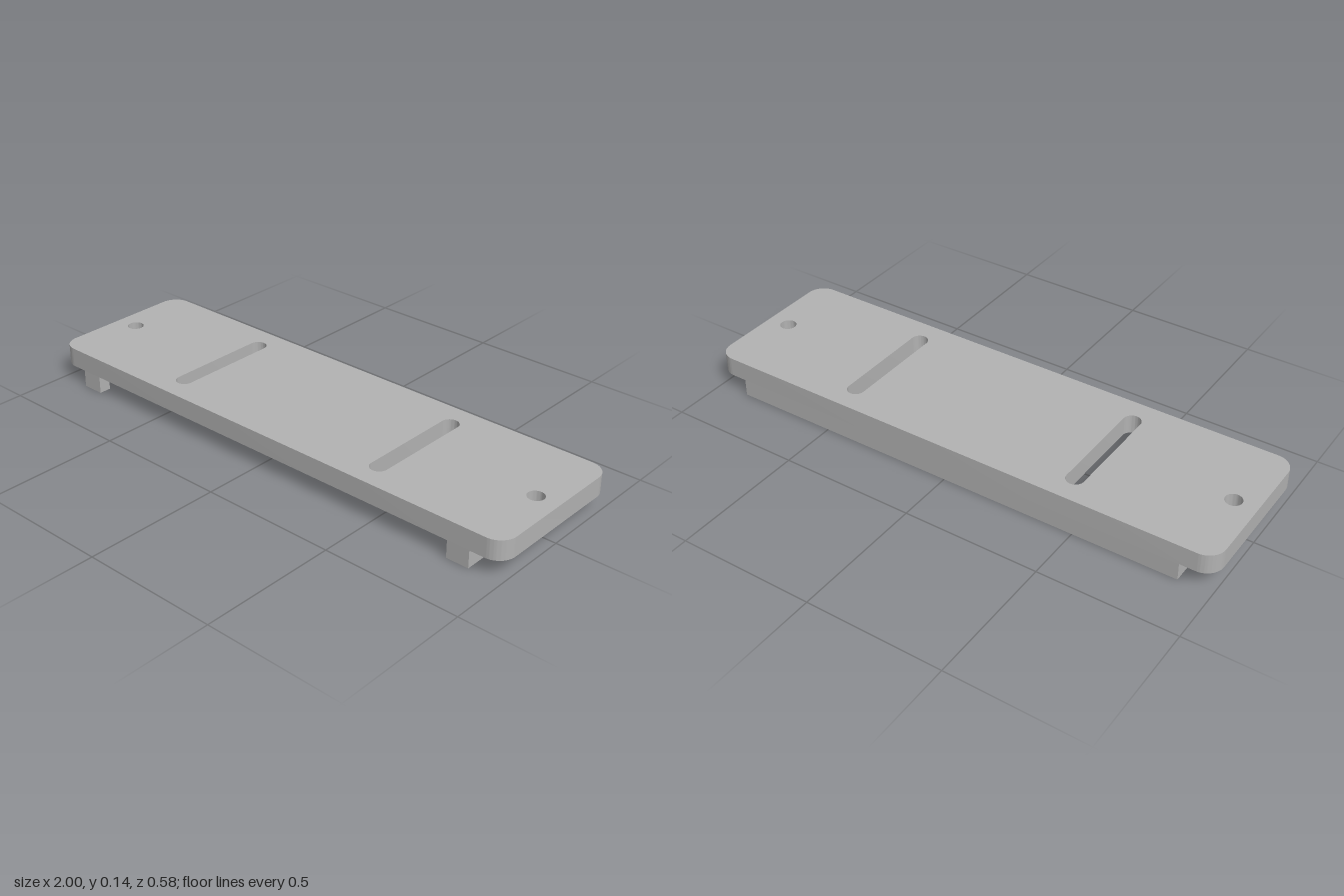
import * as THREE from 'three';
import { toCreasedNormals } from 'three/addons/utils/BufferGeometryUtils.js';

const HALF_X = 1, HALF_Z = 0.288, SKIRT_H = 0.064, TOP = 0.136;

// Extrudes a plan outline (shape y = -z) upward from y0 to y1
function slab(shape, y0, y1) {
  const geo = new THREE.ExtrudeGeometry(shape, { depth: y1 - y0, bevelEnabled: false, curveSegments: 16 });
  geo.rotateX(-Math.PI / 2).translate(0, y0, 0);
  return toCreasedNormals(geo, Math.PI / 6);
}

// Rounded rectangle in plan, traced counter-clockwise
function roundedRect(path, hx, hy, r) {
  path.moveTo(hx, -hy + r);
  path.lineTo(hx, hy - r);
  path.absarc(hx - r, hy - r, r, 0, Math.PI / 2);
  path.lineTo(-hx + r, hy);
  path.absarc(-hx + r, hy - r, r, Math.PI / 2, Math.PI);
  path.lineTo(-hx, -hy + r);
  path.absarc(-hx + r, -hy + r, r, Math.PI, Math.PI * 1.5);
  path.lineTo(hx - r, -hy);
  path.absarc(hx - r, -hy + r, r, Math.PI * 1.5, Math.PI * 2);
  return path;
}

// Long slot with round ends
function slotHole(x, r, halfLength) {
  const path = new THREE.Path();
  path.moveTo(x + r, -halfLength + r);
  path.lineTo(x + r, halfLength - r);
  path.absarc(x, halfLength - r, r, 0, Math.PI);
  path.lineTo(x - r, -halfLength + r);
  path.absarc(x, -halfLength + r, r, Math.PI, Math.PI * 2);
  return path;
}

export function createModel() {
  const group = new THREE.Group();
  group.name = 'mountingPlate';
  const grey = new THREE.MeshStandardMaterial({ color: 0xb2b2b2 });
  grey.name = 'plain grey';

  // Top plate with a screw hole and a slot at each end
  const plate = roundedRect(new THREE.Shape(), HALF_X, HALF_Z, 0.065);
  for (const s of [-1, 1]) {
    plate.holes.push(slotHole(s * 0.446, 0.032, 0.218));
    plate.holes.push(new THREE.Path().absarc(s * 0.915, 0, 0.03, 0, Math.PI * 2));
  }
  const plateMesh = new THREE.Mesh(slab(plate, SKIRT_H, TOP), grey);
  plateMesh.name = 'topPlate';
  group.add(plateMesh);

  // Skirt below: back and side walls, open at the front between two inward lips
  const outer = 0.88, inner = 0.84, lip = 0.797, lipDepth = 0.045;
  const half = [
    [lip, -HALF_Z], [outer, -HALF_Z], [outer, HALF_Z],
  ];
  const inside = [
    [inner, HALF_Z - 0.04], [inner, -HALF_Z + lipDepth], [lip, -HALF_Z + lipDepth],
  ];
  const mirror = (pts) => pts.map(([x, y]) => [-x, y]).reverse();
  const outline = [...half, ...mirror(half), ...mirror(inside), ...inside];
  const skirt = new THREE.Shape(outline.map(([x, y]) => new THREE.Vector2(x, y)));
  const skirtMesh = new THREE.Mesh(slab(skirt, 0, SKIRT_H), grey);
  skirtMesh.name = 'skirt';
  group.add(skirtMesh);

  return group;
}
